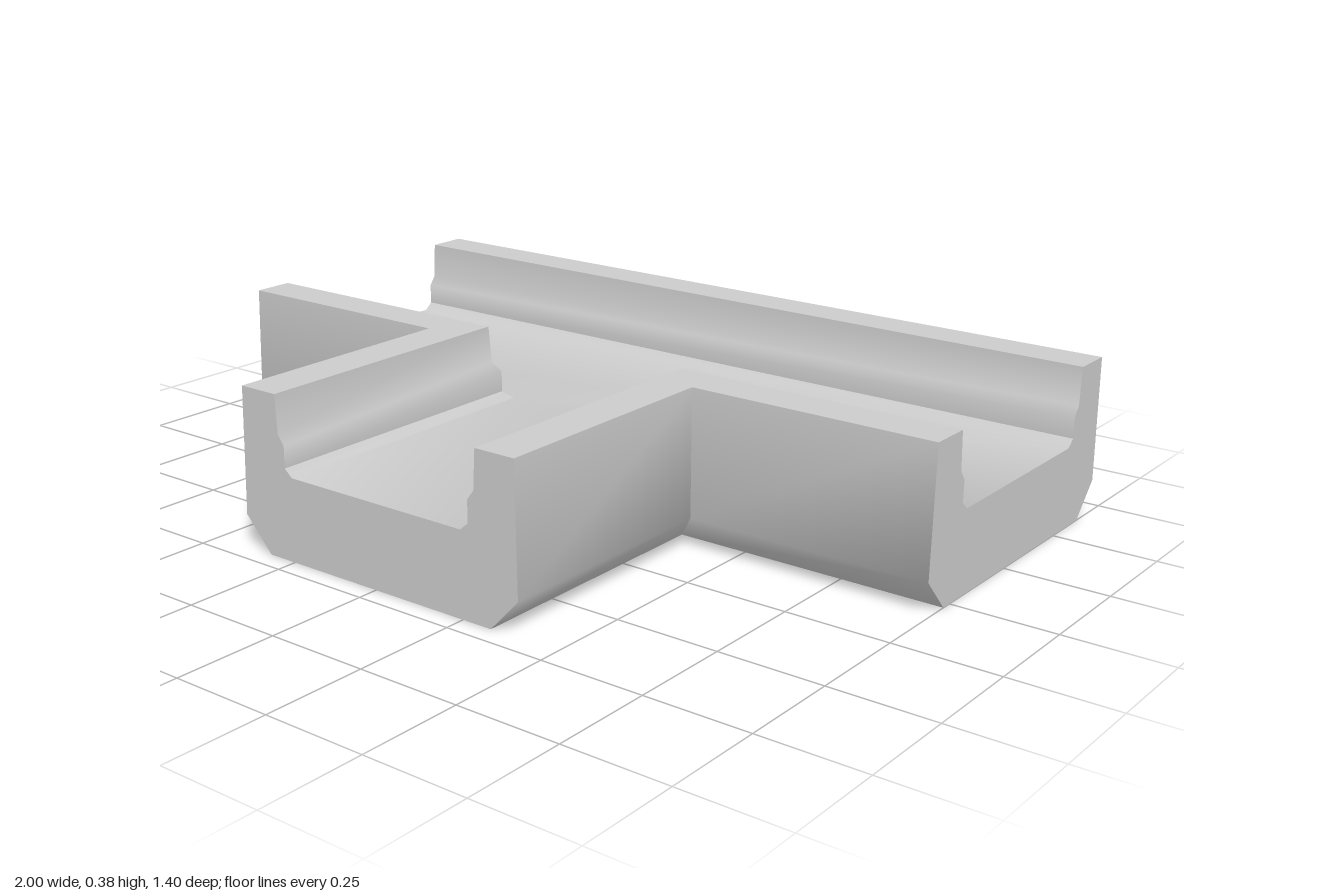
import * as THREE from 'three';
import { mergeGeometries, toCreasedNormals } from 'three/addons/utils/BufferGeometryUtils.js';

const AXIS_Z = -0.3; // centre line of the long channel
const END_Z = 0.7; // open end of the branch
const FLOOR_Y = 0.2;

// Half section of the channel: [distance from centre line, height], floor edge to underside edge
const PROFILE = [
  [0.247, FLOOR_Y], [0.268, 0.218], [0.268, 0.27], [0.285, 0.293], [0.29, 0.385],
  [0.393, 0.385], [0.4, 0.08], [0.326, 0],
];

// Plan lines [x, z] of the three walls, at distance d from the centre lines
const WALLS = [
  (d) => [[-1, AXIS_Z - d], [1, AXIS_Z - d]],
  (d) => [[1, AXIS_Z + d], [d, AXIS_Z + d], [d, END_Z]],
  (d) => [[-d, END_Z], [-d, AXIS_Z + d], [-1, AXIS_Z + d]],
];

// Sweep the half section along a plan line, with mitred corners
function wallGeometry(plan) {
  const positions = [];
  const rows = PROFILE.map(([d, y]) => plan(d).map(([x, z]) => [x, y, z]));
  for (let i = 0; i < rows.length - 1; i++) {
    for (let j = 0; j < rows[i].length - 1; j++) {
      const a = rows[i][j], b = rows[i][j + 1], c = rows[i + 1][j + 1], e = rows[i + 1][j];
      positions.push(...a, ...b, ...c, ...a, ...c, ...e);
    }
  }
  const geometry = new THREE.BufferGeometry();
  geometry.setAttribute('position', new THREE.Float32BufferAttribute(positions, 3));
  return geometry;
}

// Flat T-shaped sheet whose arms have half width d, facing up (1) or down (-1)
function teeGeometry(d, y, facing) {
  const outline = WALLS.flatMap((plan) => plan(d));
  const shape = new THREE.Shape(outline.map(([x, z]) => new THREE.Vector2(x, -facing * z)));
  const geometry = new THREE.ShapeGeometry(shape).toNonIndexed();
  geometry.rotateX(-facing * Math.PI / 2).translate(0, y, 0);
  geometry.deleteAttribute('uv');
  geometry.deleteAttribute('normal');
  return geometry;
}

export function createModel() {
  const group = new THREE.Group();
  group.name = 'channelJunction';
  const material = new THREE.MeshStandardMaterial({ color: 0xcccccc });
  const add = (name, geometry) => {
    const mesh = new THREE.Mesh(geometry, material);
    mesh.name = name;
    group.add(mesh);
    return mesh;
  };

  // Walls and channel floor, shaded together
  const first = PROFILE[0], last = PROFILE[PROFILE.length - 1];
  const channel = mergeGeometries([...WALLS.map(wallGeometry), teeGeometry(first[0], FLOOR_Y, 1)]);
  add('channelWallsAndFloor', toCreasedNormals(channel, Math.PI / 4));

  // Underside
  const underside = teeGeometry(last[0], 0, -1);
  underside.computeVertexNormals();
  add('underside', underside);

  // Cut end faces
  const section = new THREE.Shape([
    ...PROFILE.map(([d, y]) => new THREE.Vector2(d, y)),
    ...PROFILE.map(([d, y]) => new THREE.Vector2(-d, y)).reverse(),
  ]);
  const endGeometry = new THREE.ShapeGeometry(section);
  const ends = [['branchEnd', 0, END_Z, 0], ['leftEnd', 1, AXIS_Z, 1], ['rightEnd', -1, AXIS_Z, -1]];
  for (const [name, x, z, turn] of ends) {
    const end = add(name, endGeometry);
    end.position.set(x, 0, z);
    end.rotation.y = turn * Math.PI / 2;
  }
  return group;
}
